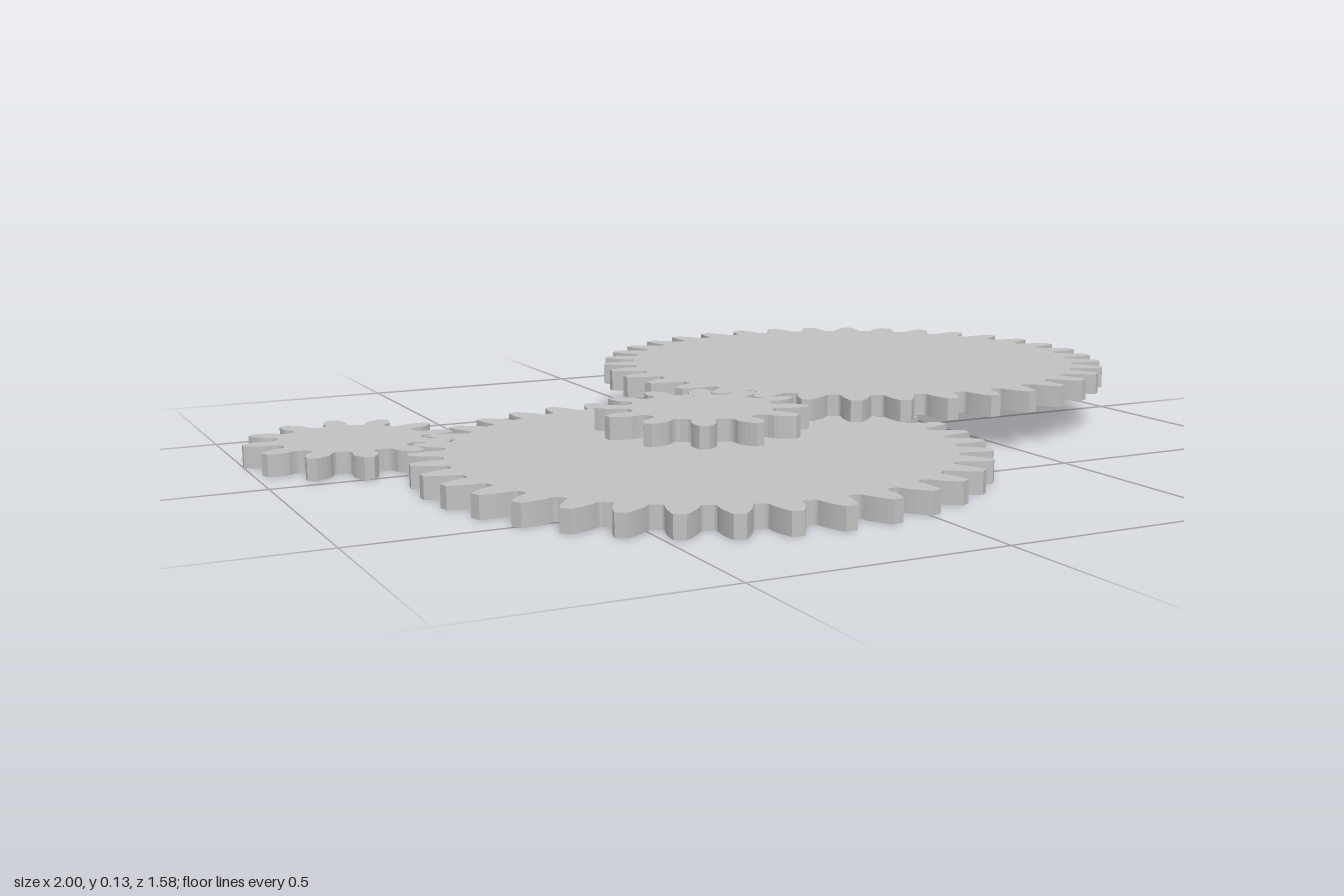
import * as THREE from 'three';

const M = 0.03062;                 // gear module
const THICK = 0.045;               // gear thickness
const UPPER = 0.083;               // base height of the upper pair
const PRESSURE = THREE.MathUtils.degToRad(20);
const SLOPE = THREE.MathUtils.degToRad(35);   // direction between meshing centres

const involute = a => Math.tan(a) - a;

// Half the angle of one tooth at radius r (in modules): involute flank above,
// cutter fillet with undercut below
function toothHalfAngle(n, r) {
  const pitch = n / 2, base = pitch * Math.cos(PRESSURE), root = pitch - 1.25;
  const corner = Math.PI / 4 - 1.25 * Math.tan(PRESSURE);
  const u = Math.sqrt(Math.max(r * r - root * root, 0));
  const fillet = Math.PI / n - (corner / pitch + Math.atan2(u, root) - u / pitch);
  if (r < base) return fillet;
  const flank = Math.PI / (2 * n) + involute(PRESSURE) - involute(Math.acos(base / r));
  return Math.min(fillet, flank);
}

// Solid spur gear lying flat, with a tooth pointing along the angle "turn"
function gearGeometry(n, turn) {
  const root = n / 2 - 1.25, tip = n / 2 + 1, steps = 9;
  const flank = [];
  for (let i = 0; i <= steps; i++) {
    const r = root + (tip - root) * Math.pow(i / steps, 1.4);
    flank.push([r, toothHalfAngle(n, r)]);
  }
  const points = [];
  const add = (r, a) => points.push(new THREE.Vector2(r * M * Math.cos(a), r * M * Math.sin(a)));
  for (let k = 0; k < n; k++) {
    const a = turn + k * 2 * Math.PI / n;
    for (const [r, h] of flank) add(r, a - h);
    for (const [r, h] of [...flank].reverse()) add(r, a + h);
  }
  const geometry = new THREE.ExtrudeGeometry(new THREE.Shape(points), { depth: THICK, bevelEnabled: false });
  return geometry.rotateX(-Math.PI / 2);
}

export function createModel() {
  const model = new THREE.Group();
  model.name = 'gearTrain';
  const steel = new THREE.MeshStandardMaterial({ color: 0xc0c0c0 });
  steel.name = 'steelGrey';

  // Spacing of meshing wheels (12 and 36 teeth)
  const dx = 24 * M * Math.cos(SLOPE), dz = 24 * M * Math.sin(SLOPE);
  const x0 = -1 + 7 * M;

  const addGear = (name, teeth, turn, x, y, z) => {
    const mesh = new THREE.Mesh(gearGeometry(teeth, turn), steel);
    mesh.name = name;
    mesh.position.set(x, y, z);
    model.add(mesh);
  };

  // Lower pair
  addGear('lowerPinion', 12, -SLOPE, x0, 0, -dz / 2);
  addGear('lowerWheel', 36, 0, x0 + dx, 0, dz / 2);
  // Upper pair, its pinion concentric with the lower wheel
  addGear('upperPinion', 12, SLOPE, x0 + dx, UPPER, dz / 2);
  addGear('upperWheel', 36, 0, x0 + 2 * dx, UPPER, -dz / 2);

  return model;
}
